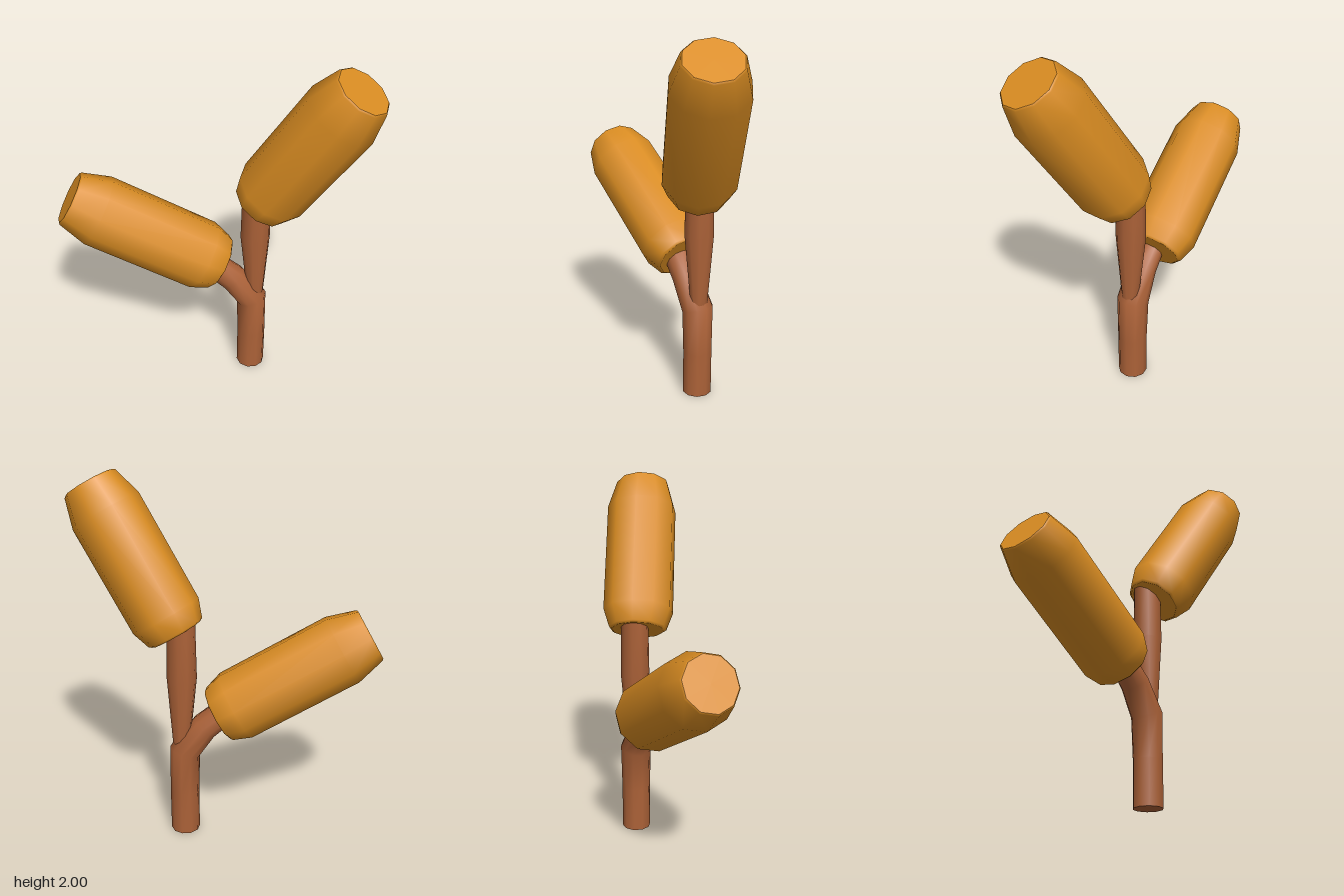
import * as THREE from 'three';

const SIDES = 10;

// Tapered limb lofted through rings of [x, y, z, radius], closed at both ends
function limbGeometry(rings) {
  const centres = rings.map(([x, y, z]) => new THREE.Vector3(x, y, z));
  const up = new THREE.Vector3(0, 1, 0);
  const positions = [];
  const index = [];
  const addRing = (i) => {
    const start = positions.length / 3;
    const last = centres.length - 1;
    const tangent = new THREE.Vector3();
    if (i > 0) tangent.add(centres[i].clone().sub(centres[i - 1]).normalize());
    if (i < last) tangent.add(centres[i + 1].clone().sub(centres[i]).normalize());
    const turn = new THREE.Quaternion().setFromUnitVectors(up, tangent.normalize());
    for (let s = 0; s < SIDES; s++) {
      const a = (s / SIDES) * Math.PI * 2;
      const p = new THREE.Vector3(Math.sin(a), 0, Math.cos(a)).multiplyScalar(rings[i][3]);
      positions.push(...p.applyQuaternion(turn).add(centres[i]).toArray());
    }
    return start;
  };
  // Side walls
  rings.forEach((_, i) => {
    const b = addRing(i);
    if (i === 0) return;
    const a = b - SIDES;
    for (let s = 0; s < SIDES; s++) {
      const n = (s + 1) % SIDES;
      index.push(a + s, a + n, b + n, a + s, b + n, b + s);
    }
  });
  // End caps on their own vertices, so the rims stay sharp
  const bottom = addRing(0);
  const top = addRing(rings.length - 1);
  for (let s = 1; s < SIDES - 1; s++) {
    index.push(bottom, bottom + s + 1, bottom + s, top, top + s, top + s + 1);
  }
  const geometry = new THREE.BufferGeometry();
  geometry.setAttribute('position', new THREE.Float32BufferAttribute(positions, 3));
  geometry.setIndex(index);
  geometry.computeVertexNormals();
  return geometry;
}

// Barrel-shaped foliage with chamfered ends, running from one point to another
function foliage(name, from, to, material) {
  const start = new THREE.Vector3(...from);
  const axis = new THREE.Vector3(...to).sub(start);
  const h = axis.length();
  const profile = [
    [0, 0], [0.145, 0], [0.145, 0], [0.16, 0.01], [0.195, 0.11],
    [0.195, h - 0.165], [0.15, h - 0.008], [0.142, h], [0.142, h], [0, h],
  ].map(([r, y]) => new THREE.Vector2(r, y));
  const mesh = new THREE.Mesh(new THREE.LatheGeometry(profile, SIDES), material);
  mesh.name = name;
  mesh.position.copy(start);
  mesh.quaternion.setFromUnitVectors(new THREE.Vector3(0, 1, 0), axis.normalize());
  return mesh;
}

export function createModel() {
  const bark = new THREE.MeshStandardMaterial({ color: 0xac6238 });
  bark.name = 'bark brown';
  const leaf = new THREE.MeshStandardMaterial({ color: 0xd98c22 });
  leaf.name = 'autumn orange';

  const tree = new THREE.Group();
  tree.name = 'tree';

  // Trunk bending into the side branch
  const trunk = new THREE.Mesh(limbGeometry([
    [0.2, 0, -0.105, 0.08],
    [0.2, 0.25, -0.105, 0.08],
    [0.195, 0.495, -0.105, 0.086],
    [0.09, 0.64, -0.075, 0.078],
    [-0.02, 0.735, -0.05, 0.072],
  ]), bark);
  trunk.name = 'trunk';

  // Upright branch, widening out of the fork
  const branch = new THREE.Mesh(limbGeometry([
    [0.215, 0.5, -0.105, 0.043],
    [0.205, 0.93, -0.105, 0.08],
    [0.205, 1.25, -0.105, 0.075],
  ]), bark);
  branch.name = 'uprightBranch';

  tree.add(
    trunk,
    branch,
    foliage('upperFoliage', [0.235, 1.17, -0.085], [0.7, 1.92, 0.01], leaf),
    foliage('sideFoliage', [0.013, 0.727, -0.085], [-0.755, 1.173, 0.12], leaf),
  );
  return tree;
}
